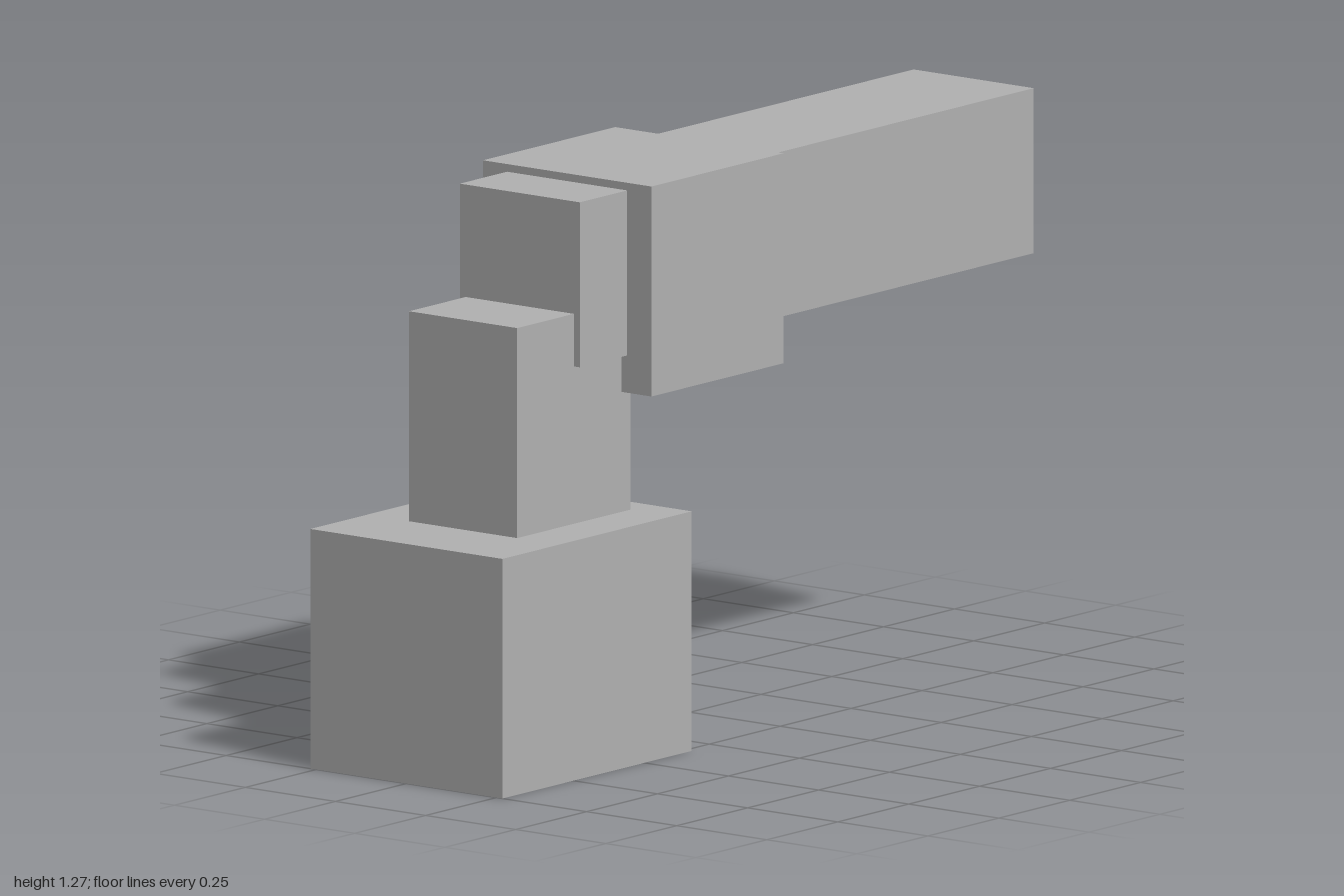
import * as THREE from 'three';

export function createModel() {
  const model = new THREE.Group();
  model.name = 'blockArm';

  const grey = new THREE.MeshStandardMaterial({ color: 0xb2b2b2 });
  grey.name = 'grey';

  // Box centred on x = 0, given by its width and its y and z limits
  function addBlock(name, width, [y0, y1], [z0, z1]) {
    const mesh = new THREE.Mesh(new THREE.BoxGeometry(width, y1 - y0, z1 - z0), grey);
    mesh.name = name;
    mesh.position.set(0, (y0 + y1) / 2, (z0 + z1) / 2);
    model.add(mesh);
  }

  addBlock('base', 0.533, [0, 0.533], [0.333, 1]);
  addBlock('neck', 0.3, [0.533, 1], [0.4, 0.8]);
  addBlock('arm', 0.333, [0.883, 1.25], [-1, 0.6]);
  addBlock('collar', 0.467, [0.8, 1.267], [-0.033, 0.433]);

  return model;
}
